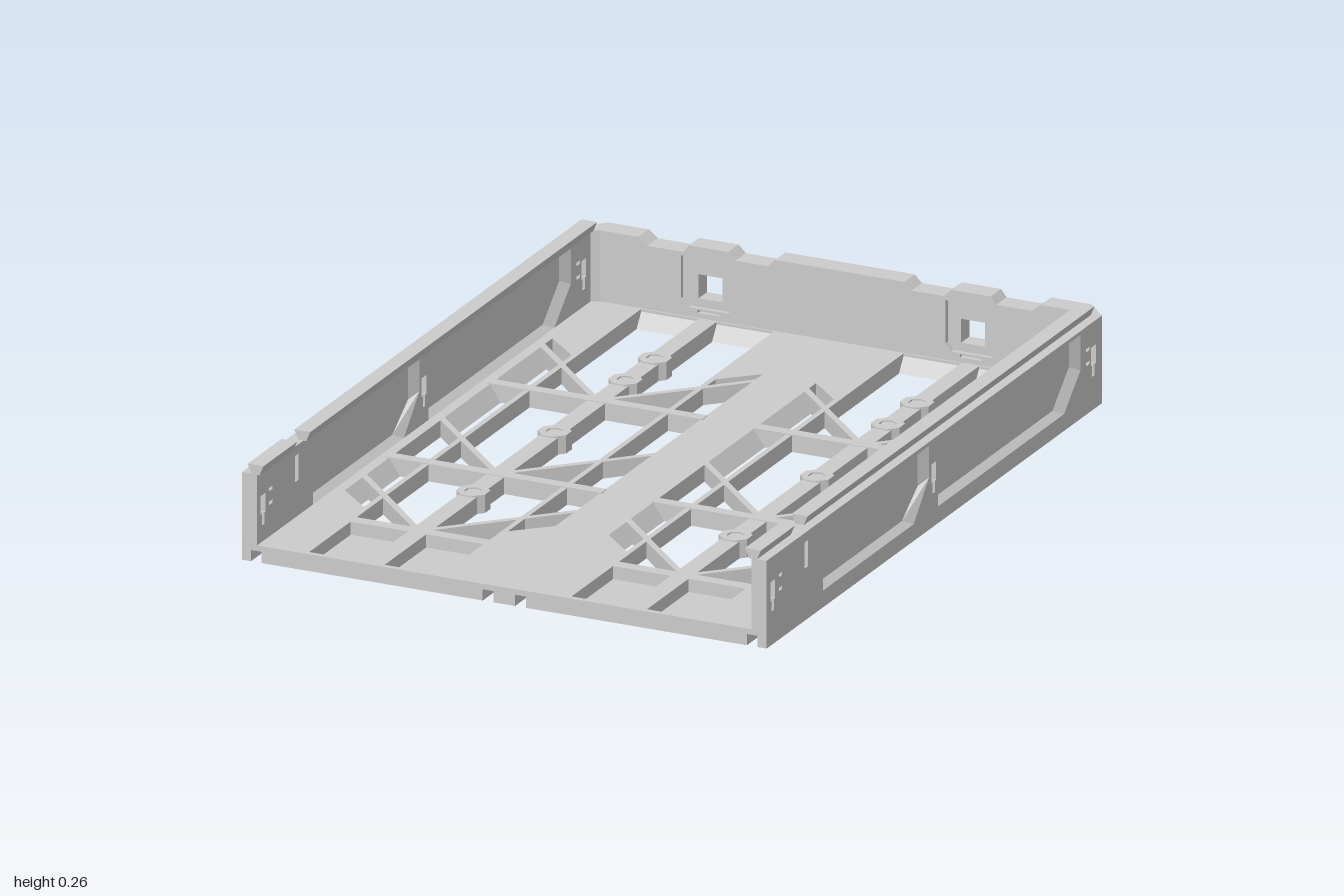
import * as THREE from 'three';

const material = new THREE.MeshStandardMaterial({ color: 0xcccccc, flatShading: true, side: THREE.DoubleSide });

export function createModel() {
  const tray = new THREE.Group();
  tray.name = 'stackableTray';

  const add = (name, geometry) => {
    const mesh = new THREE.Mesh(geometry, material);
    mesh.name = name;
    tray.add(mesh);
  };
  const toShape = (pts, holes = []) => {
    const shape = new THREE.Shape(pts.map(([a, b]) => new THREE.Vector2(a, b)));
    shape.holes = holes.map(h => new THREE.Path(h.map(([a, b]) => new THREE.Vector2(a, b))));
    return shape;
  };
  const extrude = (pts, holes, depth) =>
    new THREE.ExtrudeGeometry(toShape(pts, holes), { depth, bevelEnabled: false });

  // Prisms along each axis: outlines are (x,z), (z,y) and (x,y)
  const flip = pts => pts.map(([x, z]) => [x, -z]);
  const prismY = (name, pts, holes, y0, y1) =>
    add(name, extrude(flip(pts), holes.map(flip), y1 - y0).rotateX(-Math.PI / 2).translate(0, y0, 0));
  const prismX = (name, pts, holes, x0, x1) =>
    add(name, extrude(pts, holes, Math.abs(x1 - x0)).rotateY(-Math.PI / 2).translate(Math.max(x0, x1), 0, 0));
  const prismZ = (name, pts, holes, z0, z1) =>
    add(name, extrude(pts, holes, z1 - z0).translate(0, 0, z0));
  const rect = (a0, a1, b0, b1) => [[a0, b0], [a1, b0], [a1, b1], [a0, b1]];
  const mirror = (s, pts) => pts.map(([x, v]) => [s * x, v]);

  // Recessed panel with sloped rim; place(a, b, d) maps outline and depth to space
  const dish = (name, outer, da, db, place) => {
    const mid = i => (Math.min(...outer.map(p => p[i])) + Math.max(...outer.map(p => p[i]))) / 2;
    const [ca, cb] = [mid(0), mid(1)];
    const inner = outer.map(([a, b]) => [a - Math.sign(a - ca) * da, b - Math.sign(b - cb) * db]);
    const pos = [];
    outer.forEach((p, i) => {
      const j = (i + 1) % outer.length;
      const A = place(...p, 0), B = place(...outer[j], 0);
      const C = place(...inner[j], 1), D = place(...inner[i], 1);
      pos.push(...A, ...B, ...C, ...A, ...C, ...D, ...D, ...C, ...place(ca, cb, 1));
    });
    const g = new THREE.BufferGeometry();
    g.setAttribute('position', new THREE.Float32BufferAttribute(pos, 3));
    g.computeVertexNormals();
    add(name, g);
  };

  const H = 0.045, G = 0.03, TOP = 0.235;

  // Floor opening and front pockets of one half
  const opening = [[0.18, -0.935], [0.55, -0.935], [0.55, -0.55], [0.66, -0.65], [0.66, 0.55], [0.55, 0.65],
    [0.55, 0.71], [0.18, 0.71], [0.18, 0.65], [0.074, 0.55], [0.074, -0.65], [0.18, -0.55]];
  const floorHoles = [opening, rect(0.18, 0.34, 0.745, 0.985), rect(0.39, 0.55, 0.745, 0.985)];

  prismY('floorDeck', rect(-0.69, 0.69, -0.94, 1),
    [-1, 1].flatMap(s => floorHoles.map(h => mirror(s, h))), G, H);
  prismY('centreRunner', rect(-0.03, 0.03, -0.94, 1), [], 0, G);

  // Side wall outlines (z, y)
  const panels = [
    [[0.675, 0.2], [0.64, 0.225], [0.06, 0.225], [0.06, 0.14], [0.15, 0.045], [0.675, 0.045]],
    [[0.008, 0.17], [-0.03, 0.225], [-0.815, 0.225], [-0.815, 0.13], [-0.72, 0.045], [0.008, 0.045]],
  ];
  const keyhole = z => [[z - 0.007, 0.09], [z + 0.007, 0.09], [z + 0.007, 0.12], [z + 0.014, 0.12],
    [z + 0.014, 0.17], [z - 0.014, 0.17], [z - 0.014, 0.12], [z - 0.007, 0.12]];
  const wallSlots = [...[0.965, 0.034, -0.89].map(keyhole), rect(0.76, 0.78, 0.14, 0.21),
    ...[0.92, -0.922, -0.858].flatMap(z => [rect(z - 0.01, z + 0.01, 0.167, 0.176), rect(z - 0.01, z + 0.01, 0.13, 0.139)])];

  // Rear wall outline (x, y) and its openings
  const half = [[0.18, TOP], [0.2, 0.215], [0.29, 0.215], [0.31, TOP], [0.42, TOP], [0.435, 0.215],
    [0.535, 0.215], [0.56, TOP], [0.665, TOP]];
  const rearOutline = [[-0.665, 0], [0.665, 0], ...half.slice().reverse(), ...mirror(-1, half)];
  const latchWindow = rect(0.332, 0.398, 0.093, 0.157);
  const latchRecess = [[0.31, 0.07], [0.42, 0.07], [0.442, 0.09], [0.442, 0.205], [0.295, 0.205], [0.295, 0.09]];
  const rearPockets = [rect(0.05, 0.26, 0.045, 0.2), rect(0.47, 0.635, 0.045, 0.2)];
  const both = list => [-1, 1].flatMap(s => list.map(h => mirror(s, h)));
  prismZ('rearWallInner', rearOutline, both([latchRecess, rect(0.335, 0.395, 0.058, 0.066)]), -0.952, -0.94);
  prismZ('rearWallOuter', rearOutline, both([latchWindow, ...rearPockets]), -1, -0.952);

  for (const s of [-1, 1]) {
    const m = pts => mirror(s, pts);

    // Lower floor, with grooves left open on both sides of it
    prismY('floorUnderside', m(rect(0.06, 0.675, -0.94, 1)), floorHoles.map(m), 0, G);
    prismY('pocketFloor', m(rect(0.17, 0.56, 0.73, 0.972)), [], 0, 0.01);
    prismY('outerRunner', m(rect(0.705, 0.73, -0.93, 1)), [], 0, G);
    for (const x of [0.045, 0.69])
      prismY('grooveEnd', m(rect(x - 0.016, x + 0.016, -0.94, -0.925)), [], 0, G);

    // Floor grid
    prismY('spine', m(rect(0.34, 0.39, -0.94, 0.72)), [], 0, H);
    for (const x of [0.165, 0.55])
      prismY('thinBar', m(rect(x, x + 0.015, -0.6, 0.69)), [], 0, H);
    for (const z of [-0.305, 0.278])
      prismY('crossBar', m(rect(0.07, 0.67, z - 0.016, z + 0.016)), [], 0, H + 0.002);
    for (const z of [-0.6, -0.02, 0.43])
      for (const [xa, xb] of [[0.07, 0.355], [0.665, 0.38]])
        prismY('diagonalBrace', m([[xa, z - 0.012], [xb, z + 0.273], [xb, z + 0.297], [xa, z + 0.012]]), [], 0, H);

    // Screw bosses on the spine
    const ring = (r, n, z, a) => Array.from({ length: n }, (_, i) => {
      const t = (i / n) * Math.PI * 2 + a;
      return [0.365 + r * Math.cos(t), z + r * Math.sin(t)];
    });
    for (const z of [-0.63, -0.46, -0.05, 0.42])
      prismY('screwBoss', m(ring(0.043, 8, z, Math.PI / 8)), [ring(0.023, 6, z, Math.PI / 6)].map(m), 0, H + 0.004);

    // Sloped ledges along the openings and under the rear wall
    for (const [z0, z1] of [[-0.6, -0.32], [-0.29, -0.01], [0.29, 0.56]]) {
      prismZ('slopedLedge', m([[0.074, 0], [0.105, 0], [0.074, H]]), [], z0, z1);
      prismZ('slopedLedge', m([[0.66, 0], [0.63, 0], [0.66, H]]), [], z0, z1);
    }
    prismX('rearSlope', [[-0.94, 0], [-0.908, 0], [-0.94, H]], [], s * 0.18, s * 0.55);

    // Side wall with panels recessed on both faces
    prismX('sideWall', rect(-0.93, 1, G, TOP), [...panels, ...wallSlots], s * 0.688, s * 0.73);
    for (const p of panels) {
      dish('outerSidePanel', p, 0.03, 0.016, (z, y, d) => [s * (0.73 - 0.018 * d), y, z]);
      dish('innerSidePanel', p, 0.03, 0.016, (z, y, d) => [s * (0.688 + 0.018 * d), y, z]);
    }

    // Dovetail stacking rail on the wall
    for (const [z0, z1] of [[-0.93, 0.73], [0.805, 1]])
      prismZ('stackingRail', m([[0.681, TOP - 0.001], [0.703, TOP - 0.001], [0.714, 0.26], [0.67, 0.26]]), [], z0, z1);

    // Chamfered rear corner
    prismY('rearCorner', m([[0.73, -0.93], [0.73, -0.94], [0.672, -1], [0.665, -1], [0.665, -0.94], [0.688, -0.93]]), [], 0, TOP);

    // Sloped rear pockets
    for (const p of rearPockets)
      dish('rearPocket', p, 0.03, 0.04, (x, y, d) => [s * x, y, -1 + 0.045 * d]);
  }
  return tray;
}
